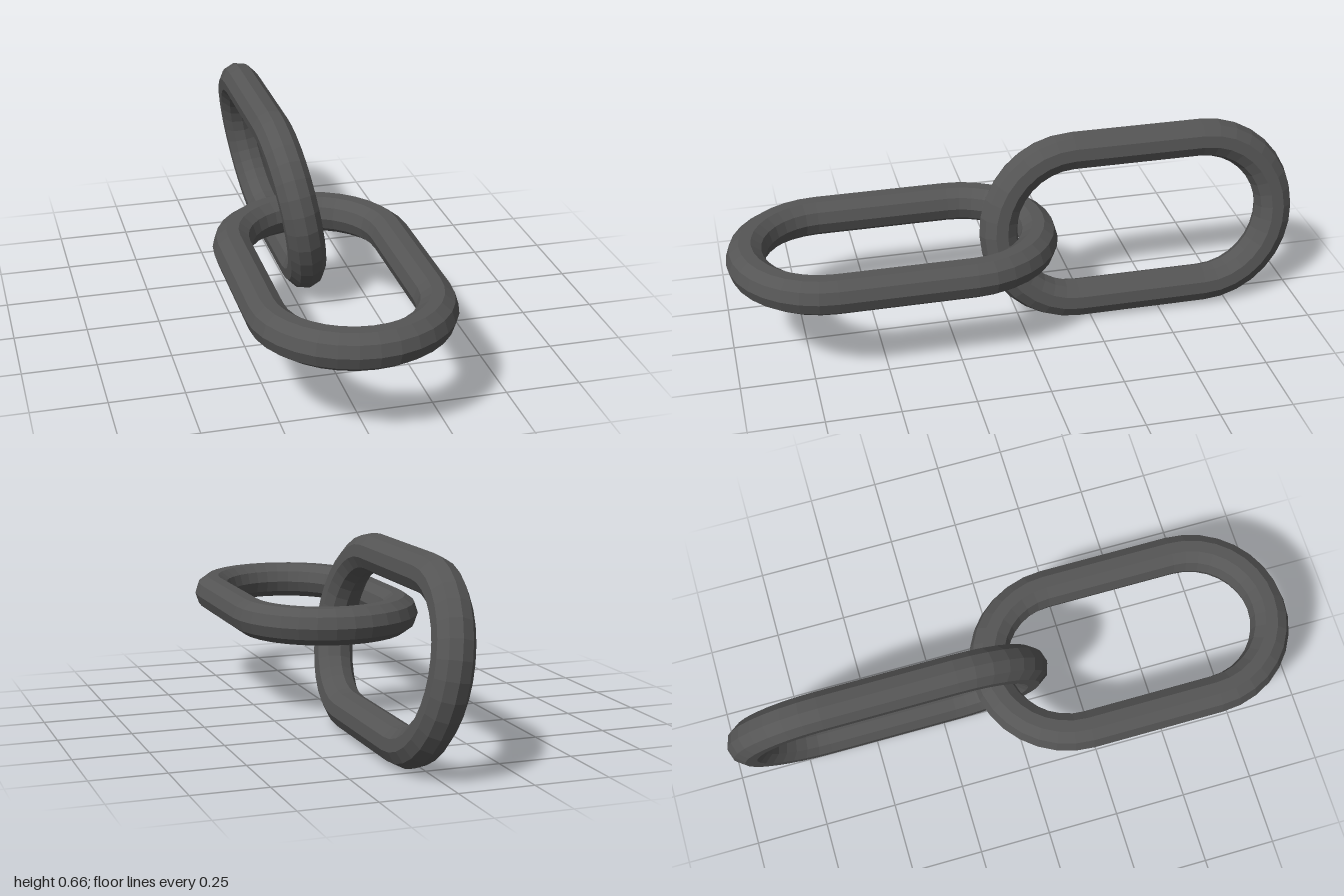
import * as THREE from 'three';

const BEND = 0.27;      // centreline radius of the rounded ends
const TUBE = 0.067;     // bar radius
const STRAIGHT = 0.23;  // half length of the straight sides
const SIDES = 10;       // sides of the bar
const ARC = 16;         // segments per rounded end

// Faceted oval link lying flat, long axis along z
function linkGeometry() {
  const positions = [];
  const index = [];
  const rings = 2 * (ARC + 1);
  for (let end = 0; end < 2; end++) {
    for (let i = 0; i <= ARC; i++) {
      const a = Math.PI * (end + i / ARC);
      const shift = end === 0 ? STRAIGHT : -STRAIGHT;
      for (let j = 0; j < SIDES; j++) {
        const b = (2 * Math.PI * j) / SIDES;
        const r = BEND + TUBE * Math.cos(b);
        positions.push(r * Math.cos(a), TUBE * Math.sin(b), r * Math.sin(a) + shift);
      }
    }
  }
  for (let i = 0; i < rings; i++) {
    for (let j = 0; j < SIDES; j++) {
      const i2 = (i + 1) % rings;
      const j2 = (j + 1) % SIDES;
      const a = i * SIDES + j, b = i * SIDES + j2;
      const c = i2 * SIDES + j2, d = i2 * SIDES + j;
      index.push(a, b, d, b, c, d);
    }
  }
  const indexed = new THREE.BufferGeometry();
  indexed.setAttribute('position', new THREE.Float32BufferAttribute(positions, 3));
  indexed.setIndex(index);
  // Separate faces give flat facets
  const geometry = indexed.toNonIndexed();
  geometry.computeVertexNormals();
  return geometry;
}

export function createModel() {
  const group = new THREE.Group();
  group.name = 'chainLinks';
  const iron = new THREE.MeshStandardMaterial({ color: 0x555555 });
  iron.name = 'darkIron';
  const geometry = linkGeometry();

  function addLink(name, z, tilt) {
    const link = new THREE.Mesh(geometry, iron);
    link.name = name;
    link.position.set(0, 0.332, z);
    link.rotation.z = THREE.MathUtils.degToRad(tilt);
    group.add(link);
  }

  addLink('frontLink', 0.433, 0);    // lies flat
  addLink('backLink', -0.433, 100);  // stands upright, leaning slightly
  return group;
}
